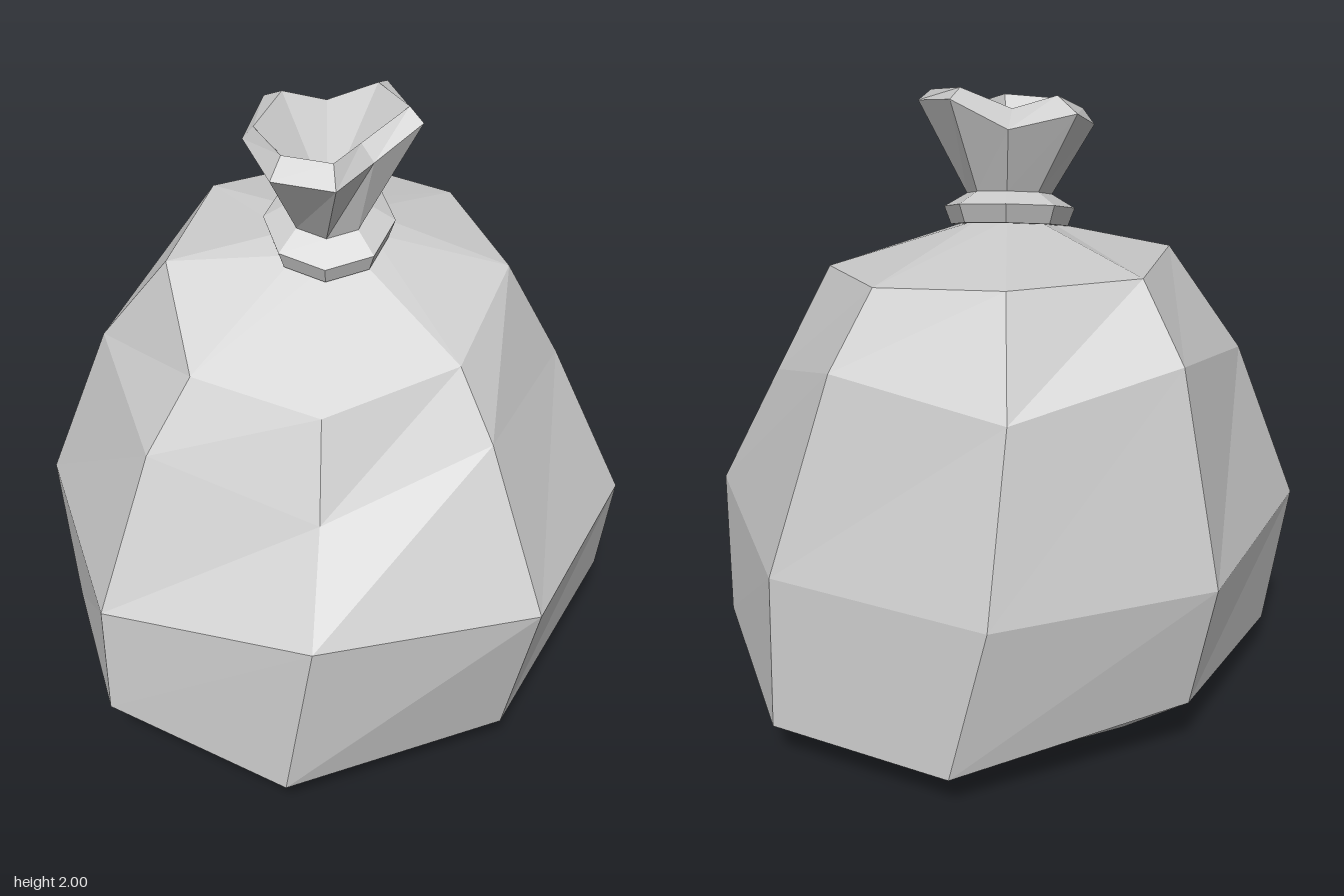
import * as THREE from 'three';

const SIDES = 8;
const material = new THREE.MeshStandardMaterial({ color: 0xcccccc, flatShading: true, side: THREE.DoubleSide });

// Faceted skin over eight-point rings, listed from the front towards +x and round;
// bottom and tip are optional centre points that close the ends.
function loft(name, rings, { bottom, tip } = {}) {
  const points = [];
  const add = (...corners) => corners.forEach((c) => points.push(...c));
  for (let i = 0; i < SIDES; i++) {
    const j = (i + 1) % SIDES;
    for (let r = 0; r < rings.length - 1; r++) {
      const a = rings[r], b = rings[r + 1];
      add(a[i], a[j], b[j]);
      add(a[i], b[j], b[i]);
    }
    const first = rings[0], last = rings[rings.length - 1];
    if (bottom) add(bottom, first[j], first[i]);
    if (tip) add(last[i], last[j], tip);
  }
  const geometry = new THREE.BufferGeometry();
  geometry.setAttribute('position', new THREE.Float32BufferAttribute(points, 3));
  geometry.computeVertexNormals();
  const mesh = new THREE.Mesh(geometry, material);
  mesh.name = name;
  return mesh;
}

// Regular ring, tilted up towards +x and the back
function tiltedRing(radius, y) {
  return Array.from({ length: SIDES }, (_, i) => {
    const a = (i / SIDES) * Math.PI * 2;
    const x = Math.sin(a) * radius - 0.01, z = Math.cos(a) * radius - 0.01;
    return [x, y + 0.25 * (x - z), z];
  });
}

export function createModel() {
  const group = new THREE.Group();
  group.name = 'tiedSack';

  // Sagging body: floor, lower bulge, widest ring, flank, shoulder
  const floor = [
    [0, 0, 0.57], [0.5, 0, 0.42], [0.67, 0, 0], [0.5, 0, -0.41],
    [0, 0, -0.57], [-0.48, 0, -0.41], [-0.64, 0, 0], [-0.49, 0, 0.42],
  ];
  const bulge = [
    [0, 0.125, 0.8], [0.73, 0.235, 0.55], [0.95, 0.15, 0], [0.72, 0.145, -0.56],
    [0, 0.23, -0.84], [-0.66, 0.15, -0.58], [-0.95, 0.23, 0.02], [-0.69, 0.115, 0.56],
  ];
  const widest = [
    [0, 0.64, 0.93], [0.655, 0.66, 0.66], [0.93, 0.66, 0], [0.655, 0.66, -0.66],
    [0, 0.66, -0.93], [-0.66, 0.66, -0.66], [-0.94, 0.59, 0], [-0.64, 0.665, 0.63],
  ];
  const flank = [
    [0.04, 1.1, 0.66], [0.58, 1.1, 0.42], [0.735, 1.28, -0.07], [0.51, 1.22, -0.58],
    [0, 1.31, -0.76], [-0.51, 1.17, -0.53], [-0.715, 1.05, -0.03], [-0.47, 0.95, 0.47],
  ];
  const shoulder = [
    [0.04, 1.305, 0.515], [0.425, 1.43, 0.335], [0.56, 1.495, -0.06], [0.38, 1.54, -0.43],
    [-0.02, 1.52, -0.57], [-0.4, 1.475, -0.32], [-0.555, 1.27, -0.01], [-0.375, 1.23, 0.37],
  ];
  group.add(loft('body', [floor, bulge, widest, flank, shoulder, tiltedRing(0.13, 1.56)], { bottom: [0, 0, 0] }));

  // Tie around the neck
  group.add(loft('tie', [
    tiltedRing(0.12, 1.55), tiltedRing(0.18, 1.55), tiltedRing(0.2, 1.607), tiltedRing(0.13, 1.65),
  ]));

  // Flared, uneven mouth with a folded rim and a hollow inside
  const outerRim = [
    [-0.01, 1.855, 0.185], [0.17, 1.93, 0.2], [0.23, 1.98, -0.02], [0.13, 1.9, -0.16],
    [-0.05, 1.935, -0.26], [-0.2, 1.865, -0.18], [-0.295, 1.84, 0.06], [-0.2, 1.84, 0.235],
  ];
  const innerRim = [
    [-0.02, 1.905, 0.14], [0.16, 1.97, 0.15], [0.165, 2, 0.01], [0.06, 1.94, -0.1],
    [-0.05, 1.975, -0.175], [-0.185, 1.91, -0.145], [-0.24, 1.9, 0.045], [-0.165, 1.9, 0.185],
  ];
  group.add(loft('mouth', [tiltedRing(0.13, 1.65), outerRim, innerRim], { tip: [-0.015, 1.66, -0.015] }));

  return group;
}
